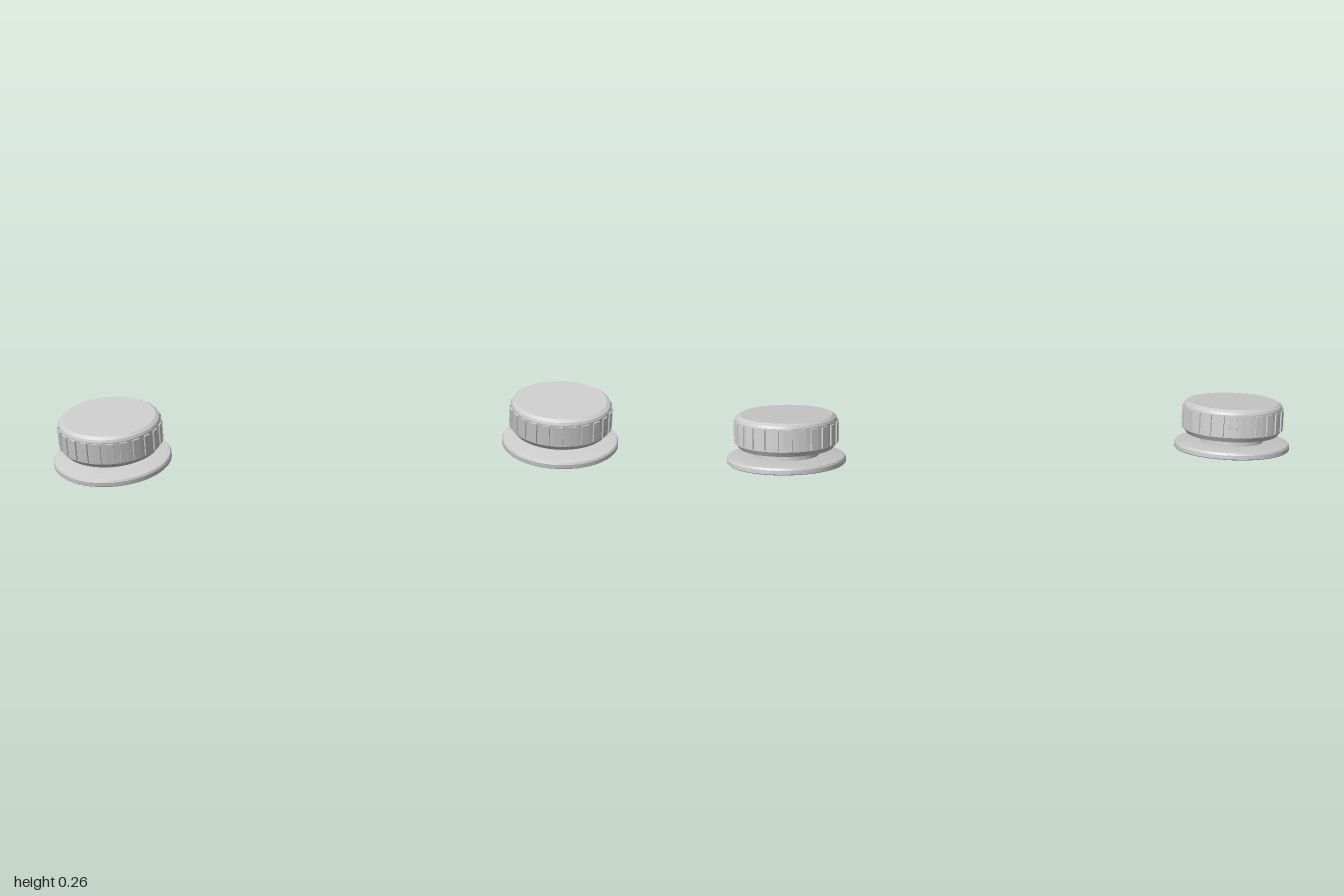
import * as THREE from 'three';
import { toCreasedNormals } from 'three/addons/utils/BufferGeometryUtils.js';

const material = new THREE.MeshStandardMaterial({ color: 0xcccccc });
const RIBS = 24;

// Closed ring turned from a profile of [radius, height] pairs
function turned(name, profile) {
  const points = profile.map(([r, y]) => new THREE.Vector2(r, y));
  const mesh = new THREE.Mesh(toCreasedNormals(new THREE.LatheGeometry(points, 72), 0.4), material);
  mesh.name = name;
  return mesh;
}

function createKnob(name) {
  const knob = new THREE.Group();
  knob.name = name;

  // Dished base flange with a short open neck
  knob.add(turned('baseFlange', [
    [0.105, 0.018], [0.207, 0], [0.21, 0.003], [0.21, 0.017], [0.206, 0.024], [0.195, 0.027],
    [0.115, 0.029], [0.115, 0.06], [0.105, 0.06], [0.105, 0.018],
  ]));

  // Hollow cap with chamfered rims
  knob.add(turned('cap', [
    [0.105, 0.056], [0.166, 0.056], [0.180, 0.074], [0.180, 0.157], [0.176, 0.166], [0.164, 0.174], [0, 0.174],
  ]));
  knob.add(turned('capInside', [
    [0, 0.166], [0.162, 0.166], [0.172, 0.155], [0.172, 0.074], [0.162, 0.062], [0.105, 0.062], [0.105, 0.056],
  ]));

  // Grip ribs, slightly proud of the wall on both sides
  const ribs = new THREE.Group();
  ribs.name = 'gripRibs';
  const ribGeometry = new THREE.BoxGeometry(0.03, 0.078, 0.016);
  const pos = ribGeometry.attributes.position;
  for (let i = 0; i < pos.count; i++) {
    if (pos.getZ(i) > 0) pos.setXY(i, pos.getX(i) * 0.87, pos.getY(i) * 0.95);
  }
  ribGeometry.computeVertexNormals();
  for (let i = 0; i < RIBS; i++) {
    const angle = (i / RIBS) * Math.PI * 2;
    const rib = new THREE.Mesh(ribGeometry, material);
    rib.name = 'gripRib';
    rib.position.set(Math.sin(angle) * 0.177, 0.115, Math.cos(angle) * 0.177);
    rib.rotation.y = angle;
    ribs.add(rib);
  }
  knob.add(ribs);

  // Tilted toward the front
  knob.rotation.x = 0.172;
  return knob;
}

export function createModel() {
  const model = new THREE.Group();
  model.name = 'knobPair';

  const rightKnob = createKnob('rightKnob');
  rightKnob.position.set(-0.79, 0.036, 0.179);

  const leftKnob = createKnob('leftKnob');
  leftKnob.position.set(0.79, 0.063, -0.18);

  model.add(rightKnob, leftKnob);
  return model;
}
